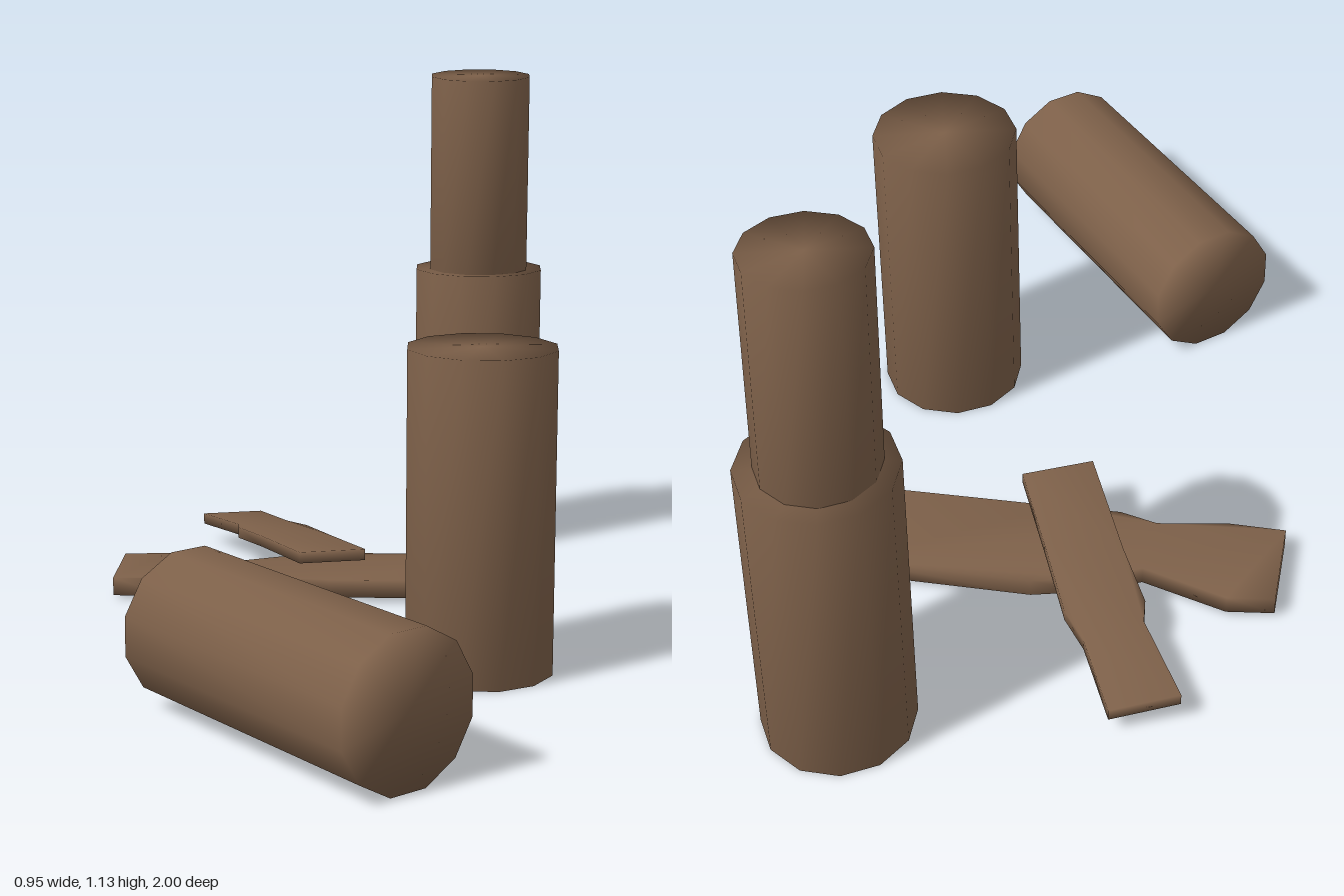
import * as THREE from 'three';
import { mergeVertices } from 'three/addons/utils/BufferGeometryUtils.js';

// Weld all corners so shading runs smoothly over every edge
function soften(geometry) {
  geometry.deleteAttribute('normal');
  geometry.deleteAttribute('uv');
  geometry.clearGroups();
  const welded = mergeVertices(geometry, 1e-4);
  welded.computeVertexNormals();
  return welded;
}

// Twelve-sided log with flats facing the axes
function logGeometry(width, length) {
  const radius = width / 2 / Math.cos(Math.PI / 12);
  return soften(new THREE.CylinderGeometry(radius, radius, length, 12, 1, false, Math.PI / 12));
}

// Worn plank from an [x, z] outline; height follows z by the given slope
function plankGeometry(outline, bottom, thickness, slope = 0) {
  const shape = new THREE.Shape(outline.map(([x, z]) => new THREE.Vector2(x, -z)));
  const geometry = new THREE.ExtrudeGeometry(shape, { depth: thickness, bevelEnabled: false });
  geometry.rotateX(-Math.PI / 2);
  const p = geometry.attributes.position;
  for (let i = 0; i < p.count; i++) p.setY(i, p.getY(i) + bottom + slope * p.getZ(i));
  return soften(geometry);
}

export function createModel() {
  const group = new THREE.Group();
  const wood = new THREE.MeshStandardMaterial({ color: 0x7d6049 });
  wood.name = 'brown wood';

  function add(name, geometry, x = 0, y = 0, z = 0) {
    const mesh = new THREE.Mesh(geometry, wood);
    mesh.name = name;
    mesh.position.set(x, y, z);
    group.add(mesh);
    return mesh;
  }

  // Three equal logs: two upright, one lying
  const log = logGeometry(0.295, 0.66);
  add('frontStandingLog', log, 0.327, 0.331, 0.192);
  add('backStandingLog', log, 0.327, 0.331, -0.855);
  const lying = add('lyingLog', log, -0.018, 0.15, 0.648);
  lying.rotation.set(Math.PI / 2, Math.atan2(0.435, 0.497), 0, 'YXZ');

  // Thinner log leaning slightly forward on the back one
  const upper = add('stackedLog', logGeometry(0.228, 0.48), 0.326, 0.881, -0.836);
  upper.rotation.x = 0.053;

  // Flat plank on the ground
  add('groundPlank', plankGeometry([
    [-0.478, -0.25], [-0.36, -0.25], [-0.21, -0.275], [-0.13, -0.255], [0.0, -0.26], [0.4, -0.27],
    [0.4, -0.49], [0.02, -0.485], [-0.1, -0.455], [-0.2, -0.41], [-0.38, -0.463], [-0.478, -0.45],
  ], 0.01, 0.04));

  // Narrow plank resting across it
  add('crossingPlank', plankGeometry([
    [-0.06, -0.195], [0.08, -0.253], [0.0, -0.43], [-0.07, -0.59], [-0.12, -0.655], [-0.195, -0.81],
    [-0.328, -0.752], [-0.23, -0.59], [-0.225, -0.54], [-0.16, -0.415],
  ], 0.126, 0.025, 0.108));

  return group;
}
